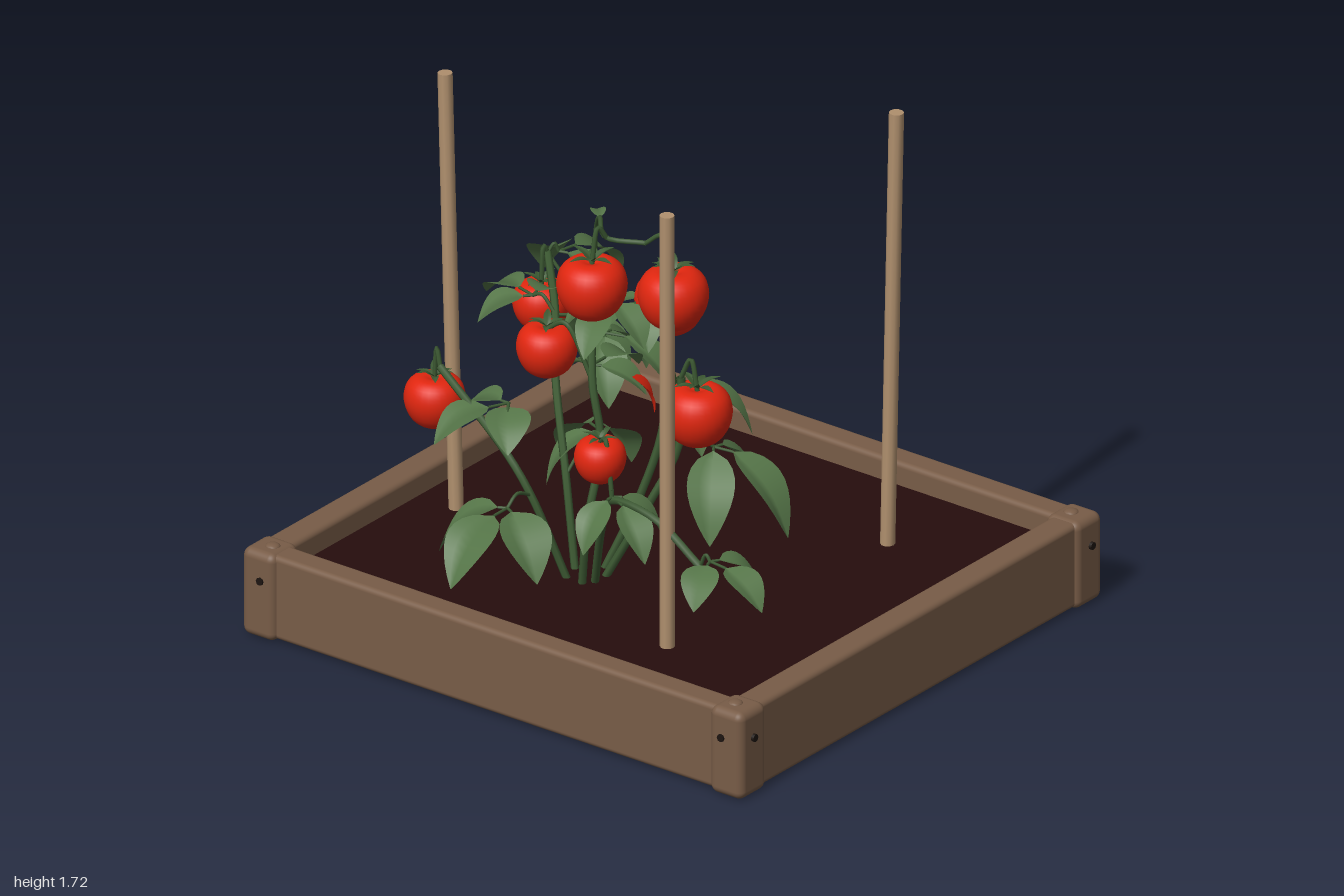
import * as THREE from 'three';
import { RoundedBoxGeometry } from 'three/addons/geometries/RoundedBoxGeometry.js';
import { ParametricGeometry } from 'three/addons/geometries/ParametricGeometry.js';

const mat = (name, color, side = THREE.FrontSide) => {
  const m = new THREE.MeshStandardMaterial({ color, side });
  m.name = name;
  return m;
};
const V = (p) => new THREE.Vector3(...p);

// Pointed blade folded along its midrib and arching from base a to tip b
function blade(a, b, w, rows) {
  const d = b.clone().sub(a), len = d.length();
  const side = d.clone().cross(new THREE.Vector3(0, 1, 0)).normalize();
  const normal = side.clone().cross(d).normalize();
  return new ParametricGeometry((u, v, out) => {
    const x = u * 2 - 1;
    const half = (w / 2) * Math.max(0.02, Math.sin(Math.PI * Math.pow(v, 0.72)) ** 0.85);
    out.copy(a).addScaledVector(d, v).addScaledVector(side, x * half)
      .addScaledVector(normal, len * 0.12 * Math.sin(Math.PI * v) + Math.abs(x) * half * 0.28);
  }, 4, rows);
}

export function createModel() {
  const model = new THREE.Group();
  model.name = 'tomatoPlanter';
  const wood = mat('wood', 0x785c47), dark = mat('darkBolt', 0x1c1410), soilMat = mat('soil', 0x260d0d);
  const cane = mat('cane', 0xb0906e), red = mat('tomatoRed', 0xe0260f, THREE.DoubleSide);
  const leafMat = mat('leafGreen', 0x557548, THREE.DoubleSide), stemMat = mat('stemGreen', 0x3d5a33, THREE.DoubleSide);

  const add = (name, geo, material, pos = [0, 0, 0], parent = model) => {
    const m = new THREE.Mesh(geo, material);
    m.name = name;
    m.position.set(...pos);
    parent.add(m);
    return m;
  };

  // Planter frame
  for (const s of [-1, 1]) {
    add('endRail', new RoundedBoxGeometry(1.66, 0.29, 0.1, 3, 0.018), wood, [0, 0.152, s * 0.927]);
    add('sideRail', new RoundedBoxGeometry(0.095, 0.29, 1.8, 3, 0.018), wood, [s * 0.863, 0.152, 0]);
    for (const t of [-1, 1]) {
      add('cornerPost', new RoundedBoxGeometry(0.137, 0.302, 0.13, 4, 0.028), wood, [s * 0.86, 0.151, t * 0.925]);
      add('topBolt', new THREE.SphereGeometry(0.025, 12, 8), wood, [s * 0.86, 0.3, t * 0.915]).scale.y = 0.45;
      const bolt = new THREE.CylinderGeometry(0.013, 0.013, 0.02, 8);
      add('endBolt', bolt, dark, [s * 0.865, 0.205, t * 0.99]).rotation.x = Math.PI / 2;
      add('sideBolt', bolt, dark, [s * 0.925, 0.205, t * 0.912]).rotation.z = Math.PI / 2;
    }
  }
  add('floorBoard', new THREE.BoxGeometry(1.74, 0.03, 1.84), wood, [0, 0.023, 0]);
  add('soil', new THREE.BoxGeometry(1.66, 0.18, 1.78), soilMat, [0, 0.128, 0]);

  // Support canes
  const addCane = (a, b) => {
    const d = b.clone().sub(a);
    const m = add('cane', new THREE.CylinderGeometry(0.024, 0.024, d.length(), 10), cane);
    m.position.copy(a).addScaledVector(d, 0.5);
    m.quaternion.setFromUnitVectors(new THREE.Vector3(0, 1, 0), d.normalize());
  };
  addCane(V([-0.535, 0.2, 0.395]), V([-0.537, 1.72, 0.395]));
  addCane(V([-0.16, 0.2, -0.73]), V([-0.14, 1.71, -0.79]));
  addCane(V([0.466, 0.2, 0.493]), V([0.483, 1.72, 0.515]));

  // Stems fan out from a ring of roots; their points carry the leaves and fruit
  const nodes = [];
  const tube = (name, pts, r) =>
    add(name, new THREE.TubeGeometry(new THREE.CatmullRomCurve3(pts), 20, r, 6), stemMat);
  const stem = (angle, ...pts) => {
    const path = pts.map(V);
    nodes.push(...path);
    tube('stem', [V([-0.28 + 0.07 * Math.cos(angle), 0.2, -0.12 + 0.05 * Math.sin(angle)]), ...path], 0.013);
  };
  stem(2.6, [-0.37, 0.45, -0.05], [-0.3, 0.7, -0.05], [-0.28, 0.9, -0.1], [-0.15, 1.2, -0.19]);
  stem(-1.5, [-0.22, 0.5, -0.25], [-0.08, 0.75, -0.4], [0.05, 0.88, -0.5], [0.27, 0.95, -0.7]);
  stem(0.2, [-0.15, 0.45, -0.02], [-0.1, 0.7, 0.04], [-0.07, 0.9, 0.03], [0.02, 1.18, -0.07]);
  stem(1.9, [-0.42, 0.5, 0.05], [-0.5, 0.64, 0.15], [-0.53, 0.64, 0.35], [-0.53, 0.53, 0.52]);
  stem(-2.5, [-0.4, 0.5, -0.25], [-0.4, 0.62, -0.35], [-0.32, 0.79, -0.67]);
  stem(1.2, [-0.22, 0.5, 0.08], [-0.16, 0.7, 0.15], [-0.16, 0.94, 0.16]);

  // Arching top truss
  const truss = [[-0.15, 1.2, -0.19], [-0.17, 1.36, -0.17], [-0.24, 1.45, -0.1], [-0.36, 1.46, 0.02], [-0.33, 1.47, 0.15]].map(V);
  nodes.push(...truss);
  tube('trussStem', truss, 0.008);

  // Thin stalk arching from the nearest stem point
  const stalk = (name, end, r, rise) => {
    const from = nodes.reduce((best, n) => (n.distanceTo(end) < best.distanceTo(end) ? n : best));
    const mid = from.clone().lerp(end, 0.6);
    mid.y += rise;
    tube(name, [from, mid, end], r);
  };

  // Sprays of three leaflets: hub position, heading, reach and drop
  const spray = (x, y, z, heading, reach, drop) => {
    const hub = V([x, y, z]);
    stalk('leafStalk', hub, 0.006, 0.03);
    for (const k of [-1, 0, 1]) {
      const dir = V([Math.cos(heading + k * 1.1), 0, Math.sin(heading + k * 1.1)]);
      const base = hub.clone().addScaledVector(dir, k ? 0.03 : 0.07);
      const tip = base.clone().addScaledVector(dir, reach * (k ? 0.85 : 1));
      tip.y -= drop;
      add('leaf', blade(base, tip, reach * 0.76, 10), leafMat);
      tube('leafletStalk', [hub, base], 0.005);
    }
  };
  spray(0.3, 0.95, -0.68, 0.2, 0.19, 0.15);
  spray(0.3, 0.75, -0.6, 0.25, 0.17, 0.18);
  spray(0.17, 0.8, -0.4, 1.3, 0.17, 0.18);
  spray(0.05, 0.92, -0.59, -1.3, 0.17, 0.08);
  spray(-0.28, 0.72, -0.43, 3.6, 0.19, 0.09);
  spray(-0.52, 0.5, -0.25, 3.14, 0.22, 0.17);
  spray(-0.1, 0.84, -0.24, 0, 0.17, 0.09);
  spray(-0.15, 1.12, -0.12, 2.9, 0.15, 0.11);
  spray(0.02, 0.8, 0, 0.9, 0.17, 0.18);
  spray(-0.07, 0.68, 0.22, 1.45, 0.2, 0.25);
  spray(-0.5, 0.65, 0.15, 2, 0.15, 0.14);
  spray(-0.53, 0.56, 0.56, 1.7, 0.16, 0.1);
  spray(-0.1, 0.62, -0.2, -1.2, 0.17, 0.18);
  spray(0.04, 1.04, -0.14, 3.5, 0.14, 0.11);
  add('topLeaf', blade(truss[2], V([-0.16, 1.42, -0.18]), 0.05, 10), leafMat);

  // Reddened leaves
  add('redLeaf', blade(V([0.26, 0.74, -0.7]), V([0.29, 0.55, -0.66]), 0.1, 10), red);
  add('redLeaf', blade(V([-0.27, 0.95, 0.05]), V([-0.22, 0.82, 0.1]), 0.1, 10), red);

  // Tomatoes: squat body with a dimpled top, star calyx and stalk
  const profile = new THREE.SplineCurve([
    [0, -0.94], [0.38, -0.86], [0.74, -0.6], [0.95, -0.18], [0.99, 0.22],
    [0.88, 0.58], [0.63, 0.8], [0.35, 0.84], [0.13, 0.77], [0, 0.72],
  ].map((p) => new THREE.Vector2(...p))).getPoints(26);
  const fruitGeo = new THREE.LatheGeometry(profile, 28);
  const tomato = (x, y, z, r) => {
    const g = new THREE.Group();
    g.name = 'tomato';
    g.position.set(x, y, z);
    model.add(g);
    add('fruit', fruitGeo, red, [0, 0, 0], g).scale.setScalar(r);
    for (let i = 0; i < 6; i++) {
      const t = (i / 6) * Math.PI * 2 + x * 9;
      const tip = V([Math.cos(t) * 0.68 * r, (i % 2 ? 0.92 : 1.12) * r, Math.sin(t) * 0.68 * r]);
      add('sepal', blade(V([0, 0.8 * r, 0]), tip, 0.26 * r, 6), stemMat, [0, 0, 0], g);
    }
    stalk('fruitStalk', V([x, y + 0.74 * r, z]), 0.008, 0.09);
  };
  tomato(-0.41, 1.3, 0, 0.113);
  tomato(-0.31, 1.3, 0.245, 0.113);
  tomato(0.1, 1.025, -0.085, 0.113);
  tomato(-0.3, 0.965, -0.263, 0.098);
  tomato(-0.155, 0.825, 0.22, 0.112);
  tomato(-0.31, 0.662, -0.7, 0.098);
  tomato(0.243, 0.78, -0.705, 0.092);
  tomato(-0.465, 0.745, 0.075, 0.083);
  return model;
}
